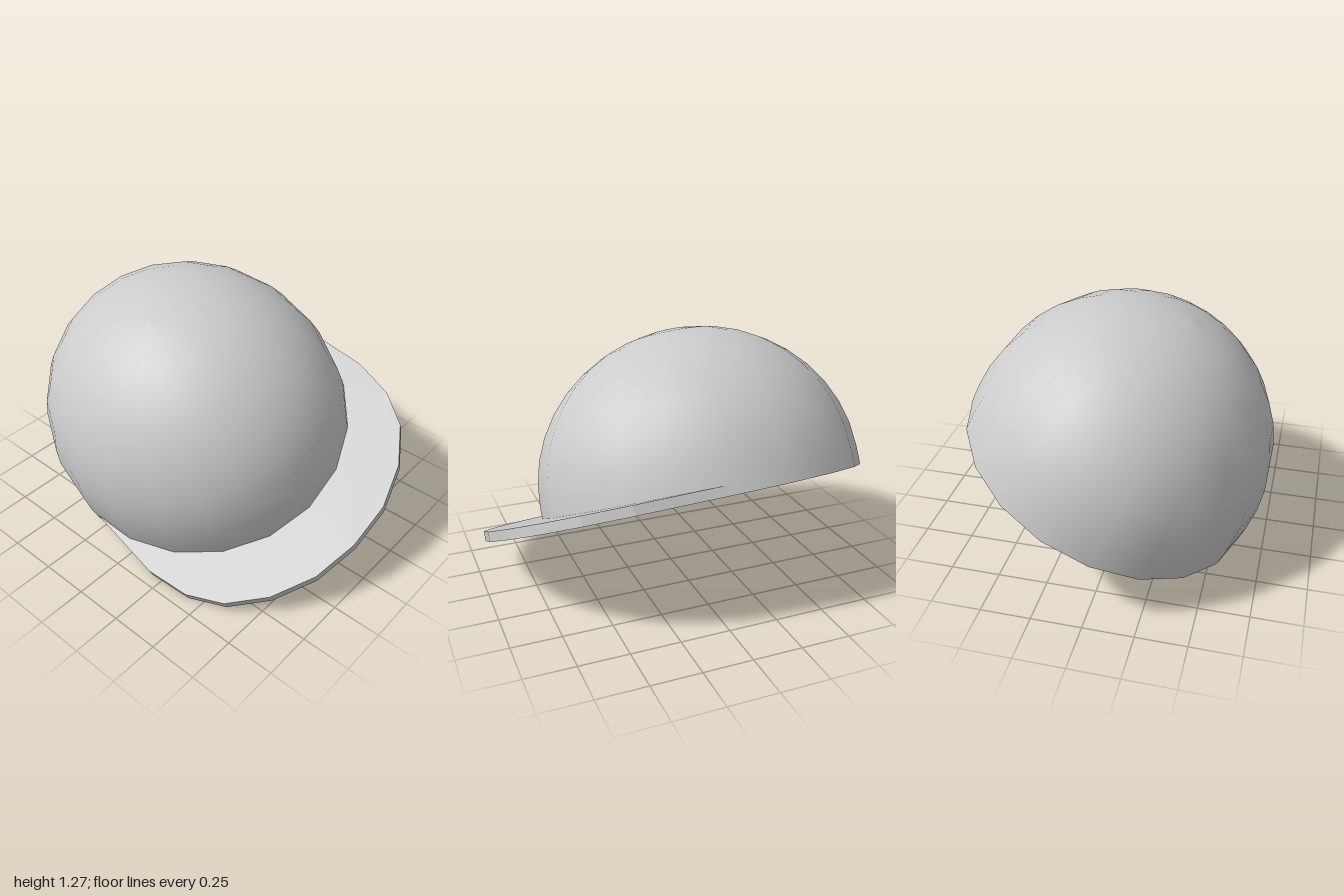
import * as THREE from 'three';

const A = 0.85, B = 0.772; // dome base half-length and half-width
const WALL = 0.1, RISE = 0.797; // straight lower wall, then the rounded crown
const SIDES = 20;

function material(flat) {
  return new THREE.MeshStandardMaterial({ color: 0xcccccc, flatShading: flat });
}

// Elliptical lathe: profile radii are fractions of the dome base, heights in units
function ring(name, profile, flat) {
  const geo = new THREE.LatheGeometry(profile.map(([r, y]) => new THREE.Vector2(r, y)), SIDES);
  geo.scale(A, 1, B);
  const mesh = new THREE.Mesh(geo, material(flat));
  mesh.name = name;
  return mesh;
}

function makeBrim() {
  // Outer edge, one half from tip to side, mirrored
  const half = [[1.15, 0], [1.123, 0.237], [1.03, 0.455], [0.887, 0.63], [0.71, 0.73], [0.48, 0.777], [0, 0.767]];
  const mirrored = half.slice(1).reverse().map(([u, v]) => [u, -v]);
  const points = [...mirrored, ...half].map(([u, v]) => new THREE.Vector2(u, v));
  // Inner edge, tucked under the dome wall
  for (let i = 0; i <= 10; i++) {
    const t = Math.PI / 2 - (i * Math.PI) / 10;
    points.push(new THREE.Vector2(0.94 * A * Math.cos(t), 0.94 * B * Math.sin(t)));
  }
  const geo = new THREE.ExtrudeGeometry(new THREE.Shape(points), { depth: 0.05, bevelEnabled: false });
  geo.rotateX(-Math.PI / 2);
  const mesh = new THREE.Mesh(geo, material(true));
  mesh.name = 'brim';
  return mesh;
}

export function createModel() {
  const cap = new THREE.Group();
  cap.name = 'cap';

  // Dome shell
  const profile = [[1, 0]];
  for (let i = 0; i <= 10; i++) {
    const t = (i * Math.PI) / 20;
    profile.push([i === 10 ? 0 : Math.cos(t), WALL + RISE * Math.sin(t)]);
  }
  cap.add(ring('dome', profile, false));

  // Underside rim, inner walls and shallow conical ceiling
  cap.add(ring('rimUnderside', [[0.87, 0], [1, 0]], true));
  cap.add(ring('lowerInnerWall', [[0.86, 0.17], [0.87, 0]], false));
  cap.add(ring('upperInnerWall', [[0.8, 0.45], [0.86, 0.17]], true));
  cap.add(ring('innerCeiling', [[0, 0.53], [0.8, 0.45]], true));

  cap.add(makeBrim());

  // Tilt the cap forward and a little to its left, brim swung slightly to the front
  cap.rotation.set(0.45, -0.165, -0.04, 'XZY');
  cap.position.set(-0.155, 0.385, -0.066);

  const model = new THREE.Group();
  model.name = 'tiltedCap';
  model.add(cap);
  return model;
}
